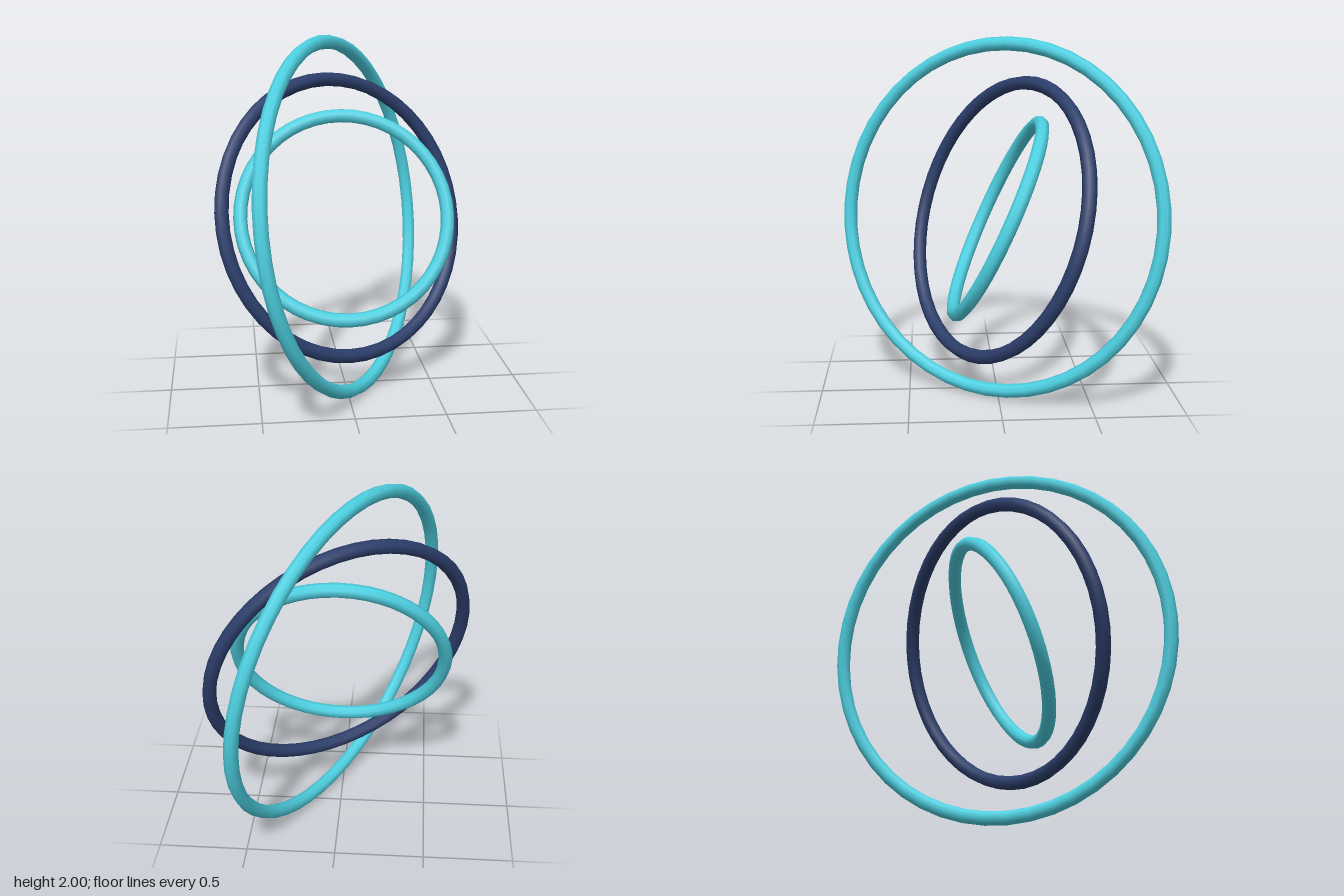
import * as THREE from 'three';

export function createModel() {
  const model = new THREE.Group();
  model.name = 'nestedRings';

  const cyan = new THREE.MeshStandardMaterial({ color: 0x4dd0e1 });
  cyan.name = 'cyan';
  const navy = new THREE.MeshStandardMaterial({ color: 0x2c3e6b });
  navy.name = 'navy';

  // Three concentric rings, each tilted back (x) and turned (y)
  const rings = [
    { name: 'innerRing', radius: 0.584, tilt: -0.435, turn: 0, material: cyan },
    { name: 'middleRing', radius: 0.778, tilt: -0.345, turn: 0.496, material: navy },
    { name: 'outerRing', radius: 0.972, tilt: -0.297, turn: 1.03, material: cyan },
  ];

  for (const { name, radius, tilt, turn, material } of rings) {
    const ring = new THREE.Mesh(new THREE.TorusGeometry(radius, 0.0389, 8, 48), material);
    ring.name = name;
    ring.rotation.set(tilt, turn, 0);
    ring.position.y = 1;
    model.add(ring);
  }
  return model;
}
